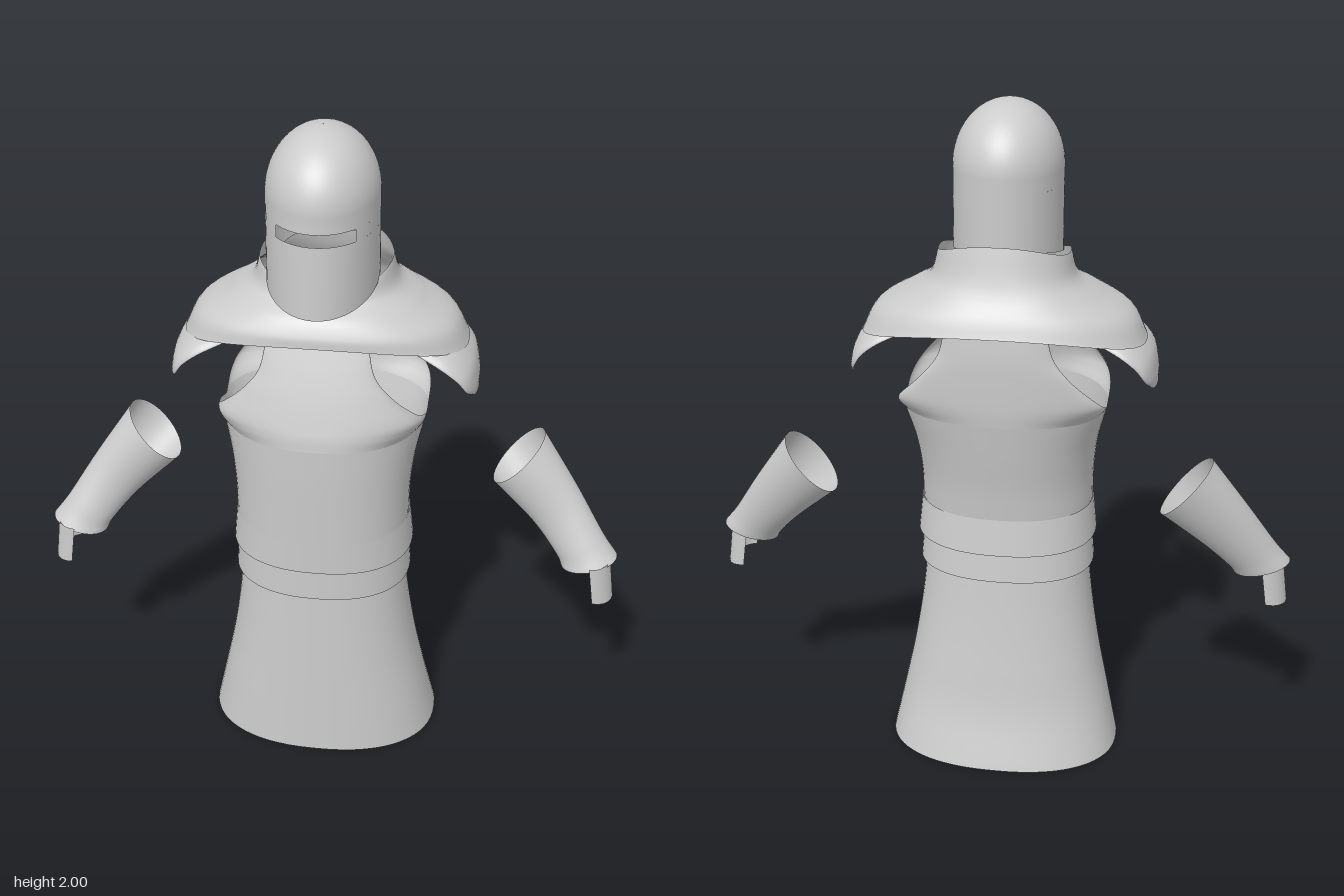
import * as THREE from 'three';
import { ParametricGeometry } from 'three/addons/geometries/ParametricGeometry.js';

const material = new THREE.MeshStandardMaterial({ color: 0xcccccc, side: THREE.DoubleSide });
const TAU = Math.PI * 2;
const lerp = THREE.MathUtils.lerp;

// Smooth interpolation through rows of numbers, t from 0 to 1
function sample(rows, t) {
  const n = rows.length - 1;
  const k = THREE.MathUtils.clamp(t, 0, 1) * n;
  const i = Math.min(Math.floor(k), n - 1);
  const f = k - i;
  const p1 = rows[i], p2 = rows[i + 1];
  return p1.map((b, c) => {
    const d = p2[c];
    const a = i > 0 ? rows[i - 1][c] : 2 * b - d;
    const e = i + 2 <= n ? rows[i + 2][c] : 2 * d - b;
    return b + 0.5 * f * (d - a + f * (2 * a - 5 * b + 4 * d - e + f * (3 * (b - d) + e - a)));
  });
}

// Slightly squared sine and cosine for body cross-sections
const squared = (s, n = 2.3) => Math.sign(s) * Math.abs(s) ** (2 / n);
const sn = a => squared(Math.sin(a));
const cs = a => squared(Math.cos(a));

function surface(name, nu, nv, point) {
  const geometry = new ParametricGeometry((u, v, target) => target.set(...point(u, v)), nu, nv);
  const mesh = new THREE.Mesh(geometry, material);
  mesh.name = name;
  return mesh;
}

// Closed body ring stack; rows: [y, halfWidth, zFront, zBack, zSide]
function tubeBody(name, rows, nv) {
  return surface(name, 64, nv, (u, v) => {
    const [y, w, zf, zb, zs] = sample(rows, v);
    const a = u * TAU, c = cs(a);
    return [w * sn(a), y, zs + (c > 0 ? zf - zs : zs - zb) * c];
  });
}

// Open chest or back panel; rows: [y, halfWidth, zEdge, zMiddle]
function panel(name, rows, dir) {
  return surface(name, 32, 28, (u, v) => {
    const [y, w, ze, zm] = sample(rows, v);
    const a = (u - 0.5) * Math.PI;
    return [dir * w * sn(a), y, ze + (zm - ze) * cs(a)];
  });
}

// Helmet shell: straight oval wall with a dome from y = 1.82
function helmetPoint(a, y) {
  const k = y > 1.82 ? Math.sqrt(Math.max(0, 1 - ((y - 1.82) / 0.18) ** 2)) : 1;
  const flare = Math.max(0, 1.8 - y) * 0.04;
  const c = Math.cos(a);
  return [0.155 * k * Math.sin(a), y, 0.045 + (0.195 + (c > 0 ? flare * c : 0)) * k * c];
}

function buildHelmet() {
  const helmet = new THREE.Group();
  helmet.name = 'helmet';
  const slit = 0.745, slitLow = 1.74, slitHigh = 1.775;
  helmet.add(
    surface('helmetDome', 64, 24, (u, v) => {
      const y = v < 0.125
        ? lerp(slitHigh, 1.82, v / 0.125)
        : 1.82 + 0.18 * Math.sin((v - 0.125) / 0.875 * Math.PI * 0.4985);
      return helmetPoint(u * TAU, y);
    }),
    surface('helmetSlitBand', 48, 1, (u, v) =>
      helmetPoint(lerp(slit, TAU - slit, u), lerp(slitLow, slitHigh, v))),
    // The lower edge rises towards the back
    surface('helmetLower', 64, 8, (u, v) => {
      const z = 0.045 + 0.2 * Math.cos(u * TAU);
      return helmetPoint(u * TAU, lerp(1.585 - 0.225 * z, slitLow, v));
    }),
  );
  return helmet;
}

// Draped collar; rows: [halfWidth, zFront, zBack, ySide, yFront, yBack]
function buildMantle() {
  const rows = [
    [0.405, 0.21, -0.275, 1.355, 1.42, 1.415],
    [0.365, 0.205, -0.255, 1.43, 1.45, 1.46],
    [0.275, 0.18, -0.222, 1.485, 1.49, 1.51],
    [0.208, 0.14, -0.202, 1.53, 1.52, 1.56],
    [0.185, 0.125, -0.18, 1.6, 1.545, 1.645],
  ];
  return surface('mantle', 64, 20, (u, v) => {
    const [w, zf, zb, ys, yf, yb] = sample(rows, v);
    const a = u * TAU, c = cs(a), z0 = (zf + zb) / 2;
    const blend = Math.cos(a) ** 2;
    return [w * sn(a), lerp(ys, c > 0 ? yf : yb, blend), z0 + (zf - zb) / 2 * c];
  });
}

// Shoulder plate; rows: [xMiddle, yMiddle, xEdge, yEdge, halfDepth]
function buildShoulderPlate() {
  const rows = [
    [0.44, 1.225, 0.425, 1.235, 0.09],
    [0.438, 1.27, 0.41, 1.27, 0.145],
    [0.42, 1.33, 0.385, 1.31, 0.163],
    [0.36, 1.385, 0.34, 1.345, 0.163],
    [0.28, 1.41, 0.27, 1.375, 0.14],
  ];
  return surface('shoulderPlate', 20, 16, (u, v) => {
    const [xm, ym, xe, ye, d] = sample(rows, v);
    const a = (u - 0.5) * Math.PI, c = Math.cos(a);
    return [lerp(xe, xm, c), lerp(ye, ym, c), -0.012 - d * Math.sin(a)];
  });
}

function buildArm() {
  const arm = new THREE.Group();
  arm.name = 'arm';
  // Forearm rings: [centre x, y, z, across x, across y, halfDepth]
  const rows = [
    [0.783, 0.643, 0.008, 0.082, 0.023, 0.07],
    [0.75, 0.69, -0.01, 0.069, 0.036, 0.066],
    [0.668, 0.8, -0.052, 0.063, 0.062, 0.07],
    [0.552, 0.933, -0.092, 0.072, 0.083, 0.096],
  ];
  arm.add(surface('forearmGuard', 40, 18, (u, v) => {
    const [x, y, z, ax, ay, d] = sample(rows, v);
    const s = Math.sin(u * TAU);
    return [x + ax * s, y + ay * s, z + d * Math.cos(u * TAU)];
  }));
  // Curved plate over the back of the hand
  arm.add(surface('handGuard', 16, 6, (u, v) => {
    const a = (u - 0.5) * Math.PI, c = Math.cos(a);
    const y = lerp(0.54 - 0.01 * c, 0.665, v);
    return [lerp(0.8, 0.782, v) + 0.064 * c, y, 0.02 - 0.072 * Math.sin(a)];
  }));
  return arm;
}

export function createModel() {
  const model = new THREE.Group();
  model.name = 'armour';

  const body = new THREE.Group();
  body.name = 'body';
  body.position.x = -0.015;
  model.add(body);

  body.add(buildHelmet(), buildMantle());

  // Torso: closed below the armholes, two panels above
  body.add(
    tubeBody('torso', [
      [0.81, 0.255, 0.27, -0.16, 0.055],
      [0.91, 0.257, 0.273, -0.173, 0.05],
      [1.02, 0.27, 0.276, -0.193, 0.03],
      [1.13, 0.296, 0.277, -0.212, -0.01],
    ], 16),
    panel('chestPanel', [
      [1.13, 0.296, -0.01, 0.277],
      [1.165, 0.296, 0.08, 0.272],
      [1.2, 0.275, 0.15, 0.262],
      [1.27, 0.21, 0.19, 0.24],
      [1.34, 0.16, 0.195, 0.215],
      [1.43, 0.14, 0.175, 0.18],
    ], 1),
    panel('backPanel', [
      [1.13, 0.296, -0.01, -0.212],
      [1.165, 0.296, -0.1, -0.216],
      [1.2, 0.275, -0.15, -0.218],
      [1.27, 0.21, -0.19, -0.22],
      [1.34, 0.16, -0.2, -0.22],
      [1.43, 0.14, -0.205, -0.212],
    ], -1),
  );

  // Two flared waist bands and the skirt
  body.add(
    tubeBody('upperBelt', [
      [0.705, 0.268, 0.267, -0.177, 0.045],
      [0.815, 0.257, 0.27, -0.163, 0.05],
    ], 4),
    tubeBody('lowerBelt', [
      [0.607, 0.263, 0.262, -0.157, 0.045],
      [0.715, 0.254, 0.262, -0.145, 0.05],
    ], 4),
    tubeBody('skirt', [
      [0, 0.353, 0.252, -0.25, 0],
      [0.16, 0.318, 0.248, -0.203, 0.02],
      [0.32, 0.285, 0.244, -0.178, 0.03],
      [0.48, 0.26, 0.24, -0.158, 0.04],
      [0.64, 0.243, 0.236, -0.142, 0.045],
    ], 20),
  );

  // Mirrored shoulder plates and arms
  for (const [side, label] of [[1, 'left'], [-1, 'right']]) {
    const plate = buildShoulderPlate();
    plate.name = label + 'ShoulderPlate';
    plate.scale.x = side;
    body.add(plate);
    const arm = buildArm();
    arm.name = label + 'Arm';
    arm.scale.x = side;
    model.add(arm);
  }
  return model;
}
